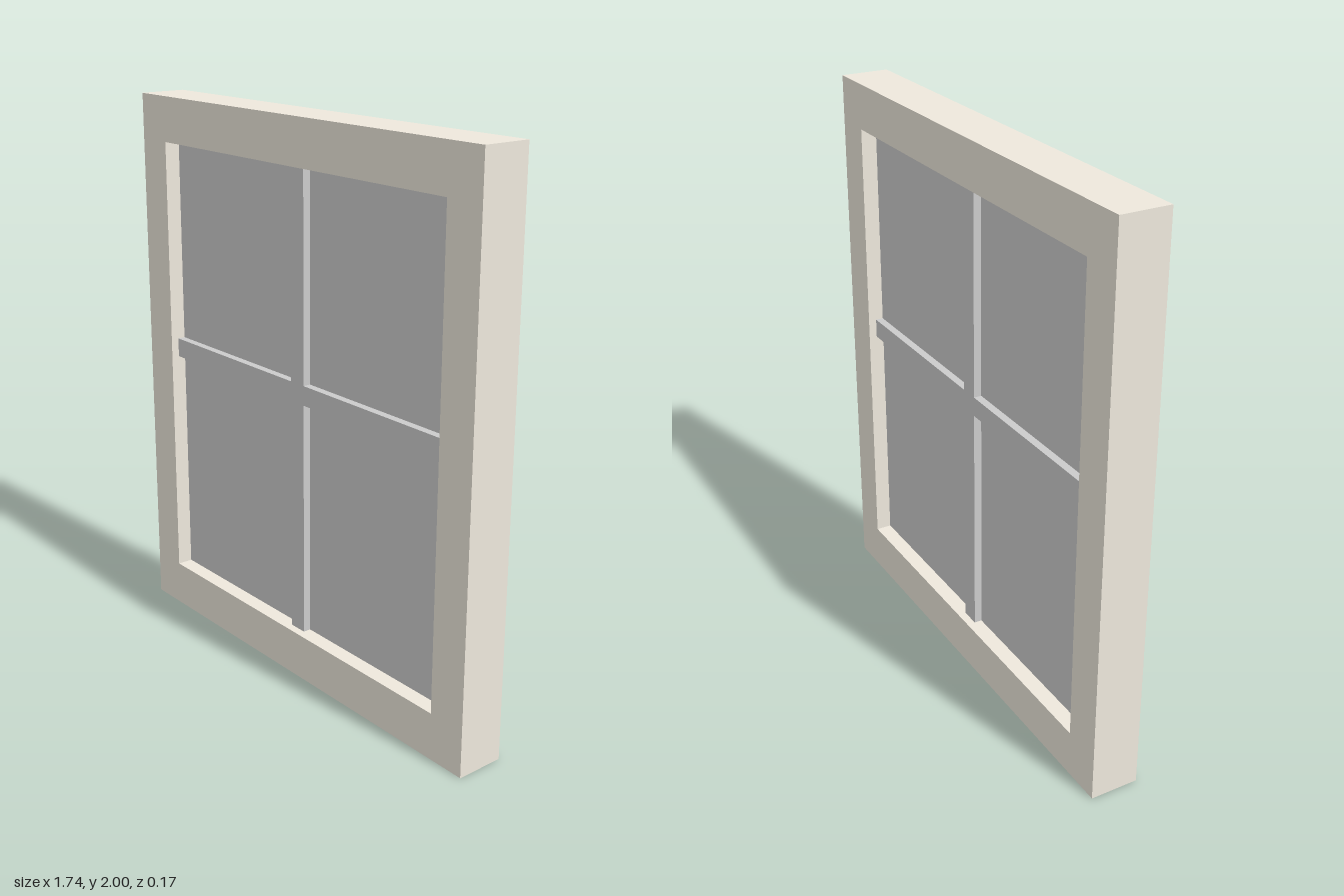
import * as THREE from 'three';

const W = 0.87, H = 2, DEPTH = 0.175;            // outer frame half width, height, depth
const OPEN = { x: 0.728, y0: 0.168, y1: 1.837 }; // opening in the frame
const BAR = { half: 0.035, y: 1.061, depth: 0.116 };
const PANE_DEPTH = 0.06;

function loop(points, Type = THREE.Shape) {
  return new Type(points.map(([x, y]) => new THREE.Vector2(x, y)));
}

function rect(x0, y0, x1, y1, Type) {
  return loop([[x0, y0], [x1, y0], [x1, y1], [x0, y1]], Type);
}

// Extrude a shape centred on z = 0
function slab(name, shape, depth, material) {
  const geometry = new THREE.ExtrudeGeometry(shape, { depth, bevelEnabled: false });
  geometry.translate(0, 0, -depth / 2);
  const mesh = new THREE.Mesh(geometry, material);
  mesh.name = name;
  return mesh;
}

export function createModel() {
  const group = new THREE.Group();
  group.name = 'window';
  const frameMaterial = new THREE.MeshStandardMaterial({ color: 0xeee8dc });
  const grey = new THREE.MeshStandardMaterial({ color: 0xcccccc });

  // Outer frame with one opening
  const frame = rect(-W, 0, W, H);
  frame.holes.push(rect(-OPEN.x, OPEN.y0, OPEN.x, OPEN.y1, THREE.Path));
  group.add(slab('frame', frame, DEPTH, frameMaterial));

  // Glass pane filling the opening
  group.add(slab('pane', rect(-OPEN.x, OPEN.y0, OPEN.x, OPEN.y1), PANE_DEPTH, grey));

  // Crossed glazing bars, flush with each other and proud of the pane on both sides
  const b = BAR.half, lo = BAR.y - b, hi = BAR.y + b;
  const cross = loop([
    [-b, OPEN.y0], [b, OPEN.y0], [b, lo], [OPEN.x, lo], [OPEN.x, hi], [b, hi],
    [b, OPEN.y1], [-b, OPEN.y1], [-b, hi], [-OPEN.x, hi], [-OPEN.x, lo], [-b, lo],
  ]);
  group.add(slab('glazingBars', cross, BAR.depth, grey));

  return group;
}
